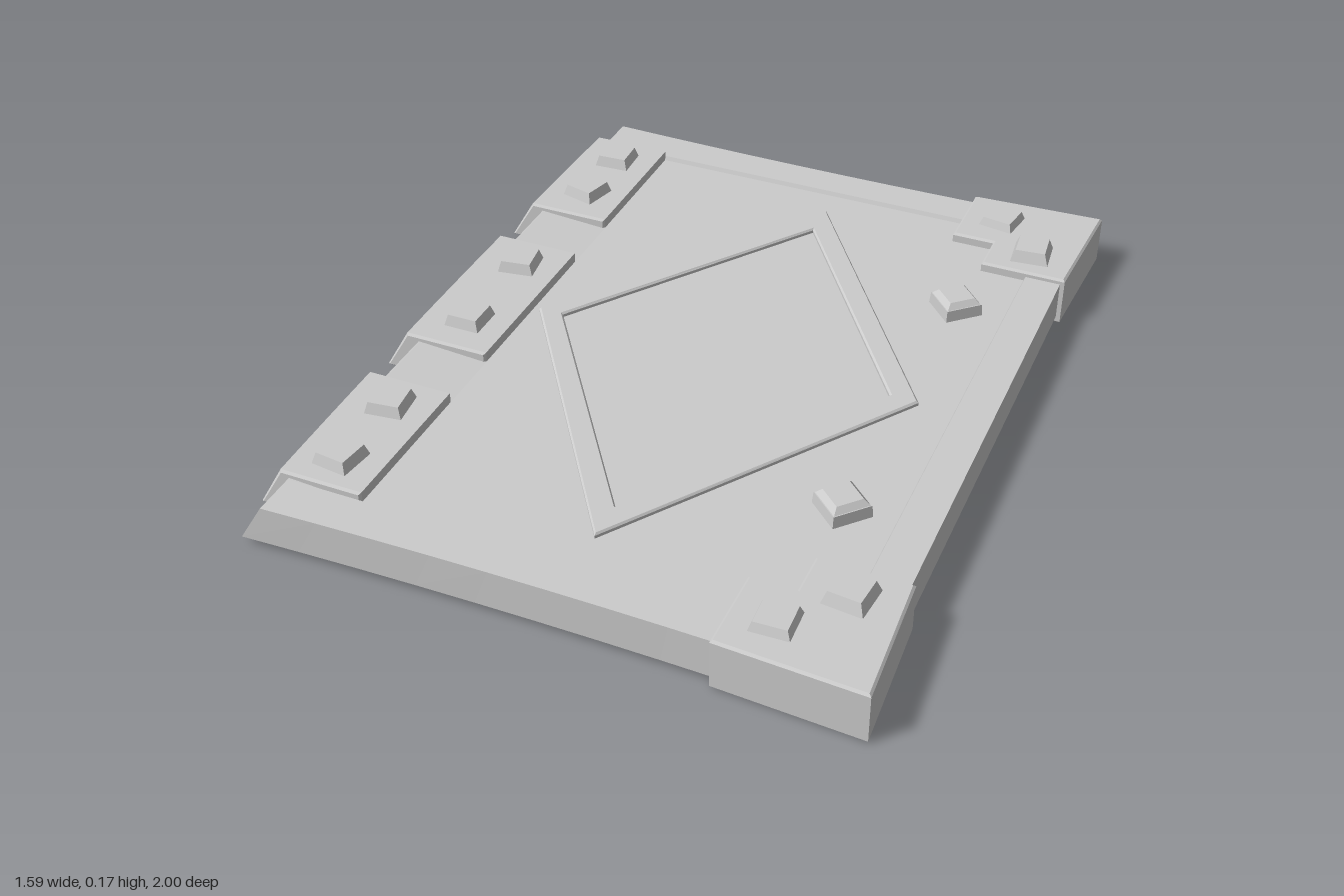
import * as THREE from 'three';

const material = new THREE.MeshStandardMaterial({ color: 0xcccccc, flatShading: true, side: THREE.DoubleSide });

function add(group, name, geometry) {
  const mesh = new THREE.Mesh(geometry, material);
  mesh.name = name;
  group.add(mesh);
  return mesh;
}

function polygon(points, Type = THREE.Shape) {
  return new Type(points.map(([x, y]) => new THREE.Vector2(x, y)));
}

// Extrude with a small bevel that stays inside the outline
function slab(shape, depth, bevel = 0.006, steps = 1) {
  const geometry = new THREE.ExtrudeGeometry(shape, {
    depth: depth - 2 * bevel, steps, bevelEnabled: true, bevelSegments: 1,
    bevelSize: bevel, bevelThickness: bevel, bevelOffset: -bevel,
  });
  return geometry.translate(0, 0, bevel);
}

// Board: stacked rectangular rings with wavy long edges and a shallow pocket on both faces
function boardGeometry() {
  const wave = (x) => 0.965 + 0.015 * ((x - 0.05) / 0.75) ** 2;
  const rings = [
    // left x, right x, half depth, y
    [-0.53, 0.66, 0.86, 0.03],
    [-0.54, 0.665, 0.865, 0.02],
    [-0.76, 0.76, wave, 0.02],
    [-0.695, 0.76, wave, 0.125],
    [-0.69, 0.665, 0.865, 0.125],
    [-0.5, 0.66, 0.86, 0.113],
  ];
  const n = 10;
  const count = 2 * (n + 1);
  const positions = [];
  const index = [];
  for (const [x0, x1, depth, y] of rings) {
    for (const side of [1, -1]) {
      for (let i = 0; i <= n; i++) {
        const t = side > 0 ? i / n : 1 - i / n;
        const x = x0 + (x1 - x0) * t;
        const z = typeof depth === 'function' ? depth(x) : depth;
        positions.push(x, y, side * z);
      }
    }
  }
  for (let r = 0; r < rings.length - 1; r++) {
    for (let i = 0; i < count; i++) {
      const j = (i + 1) % count;
      const a = r * count, b = a + count;
      index.push(a + i, a + j, b + j, a + i, b + j, b + i);
    }
  }
  // Pocket floors
  const bottom = positions.length / 3;
  positions.push(0.05, rings[0][3], 0, 0.05, rings[rings.length - 1][3], 0);
  const last = (rings.length - 1) * count;
  for (let i = 0; i < count; i++) {
    const j = (i + 1) % count;
    index.push(bottom, j, i, bottom + 1, last + i, last + j);
  }
  const geometry = new THREE.BufferGeometry();
  geometry.setAttribute('position', new THREE.Float32BufferAttribute(positions, 3));
  geometry.setIndex(index);
  const flat = geometry.toNonIndexed();
  flat.computeVertexNormals();
  return flat;
}

// Strap wrapped over the slanted edge, bowed slightly outward
function strapGeometry(z0, z1) {
  const profile = polygon([[-0.788, 0.022], [-0.719, 0.14], [-0.5, 0.14], [-0.5, 0.1], [-0.66, 0.05], [-0.7, 0.022]]);
  const geometry = slab(profile, z1 - z0, 0.006, 4).translate(0, 0, z0);
  const p = geometry.attributes.position;
  for (let i = 0; i < p.count; i++) {
    if (p.getX(i) < -0.71) {
      const bow = 0.012 * (1 - (p.getZ(i) / 0.87) ** 2);
      p.setX(i, p.getX(i) - bow);
    }
  }
  geometry.computeVertexNormals();
  return geometry;
}

// Tapered square stud
function studGeometry(width, topWidth, height) {
  return new THREE.CylinderGeometry(topWidth / Math.SQRT2, width / Math.SQRT2, height, 4)
    .rotateY(Math.PI / 4).translate(0, height / 2, 0);
}

function addStud(group, name, x, y, z, turn, width = 0.1, topWidth = 0.08, height = 0.035) {
  const stud = add(group, name, studGeometry(width, topWidth, height));
  stud.position.set(x, y, z);
  stud.rotation.y = turn;
}

export function createModel() {
  const model = new THREE.Group();
  model.name = 'bookCover';

  add(model, 'coverBoard', boardGeometry());

  // Raised diamond frame on the panel
  const frame = polygon([[-0.48, 0], [0.05, -0.76], [0.57, 0], [0.05, 0.76]]);
  frame.holes.push(polygon([[-0.41, 0], [0.05, 0.65], [0.495, 0], [0.05, -0.65]], THREE.Path));
  const diamond = add(model, 'diamondFrame', slab(frame, 0.022, 0.005).rotateX(-Math.PI / 2));
  diamond.position.y = 0.104;

  // Spine straps, two studs each
  const straps = [
    [-0.87, -0.44, [[-0.76, 0.05], [-0.56, -0.25]]],
    [-0.26, 0.26, [[-0.145, 0.15], [0.14, 0]]],
    [0.435, 0.86, [[0.54, 0.12], [0.765, -0.12]]],
  ];
  for (const [z0, z1, studs] of straps) {
    const group = new THREE.Group();
    group.name = 'spineStrap';
    add(group, 'strap', strapGeometry(z0, z1));
    for (const [z, turn] of studs) addStud(group, 'strapStud', -0.61, 0.135, z, turn);
    model.add(group);
  }

  // Corner guards and loose diamond studs, mirrored front to back
  for (const side of [1, -1]) {
    const group = new THREE.Group();
    group.name = side > 0 ? 'frontCornerGuard' : 'backCornerGuard';
    const outline = [[0.425, 0.983], [0.79, 1.0], [0.772, 0.647], [0.54, 0.647], [0.54, 0.762], [0.425, 0.762]];
    const guard = polygon(outline.map(([x, z]) => [x, -side * z]));
    add(group, 'guardPlate', slab(guard, 0.14).rotateX(-Math.PI / 2));
    addStud(group, 'guardStud', 0.533, 0.135, side * 0.875, side * 0.1 - 0.06, 0.1, 0.08, 0.028);
    addStud(group, 'guardStud', 0.655, 0.135, side * 0.74, side * -0.1, 0.105, 0.08, 0.037);
    model.add(group);

    const turn = Math.PI / 4 + side * 0.04;
    addStud(model, 'diamondStudBase', 0.53, 0.11, side * 0.445, turn, 0.105, 0.1, 0.035);
    addStud(model, 'diamondStudTop', 0.53, 0.145, side * 0.445, turn, 0.095, 0.07, 0.015);
  }

  return model;
}
